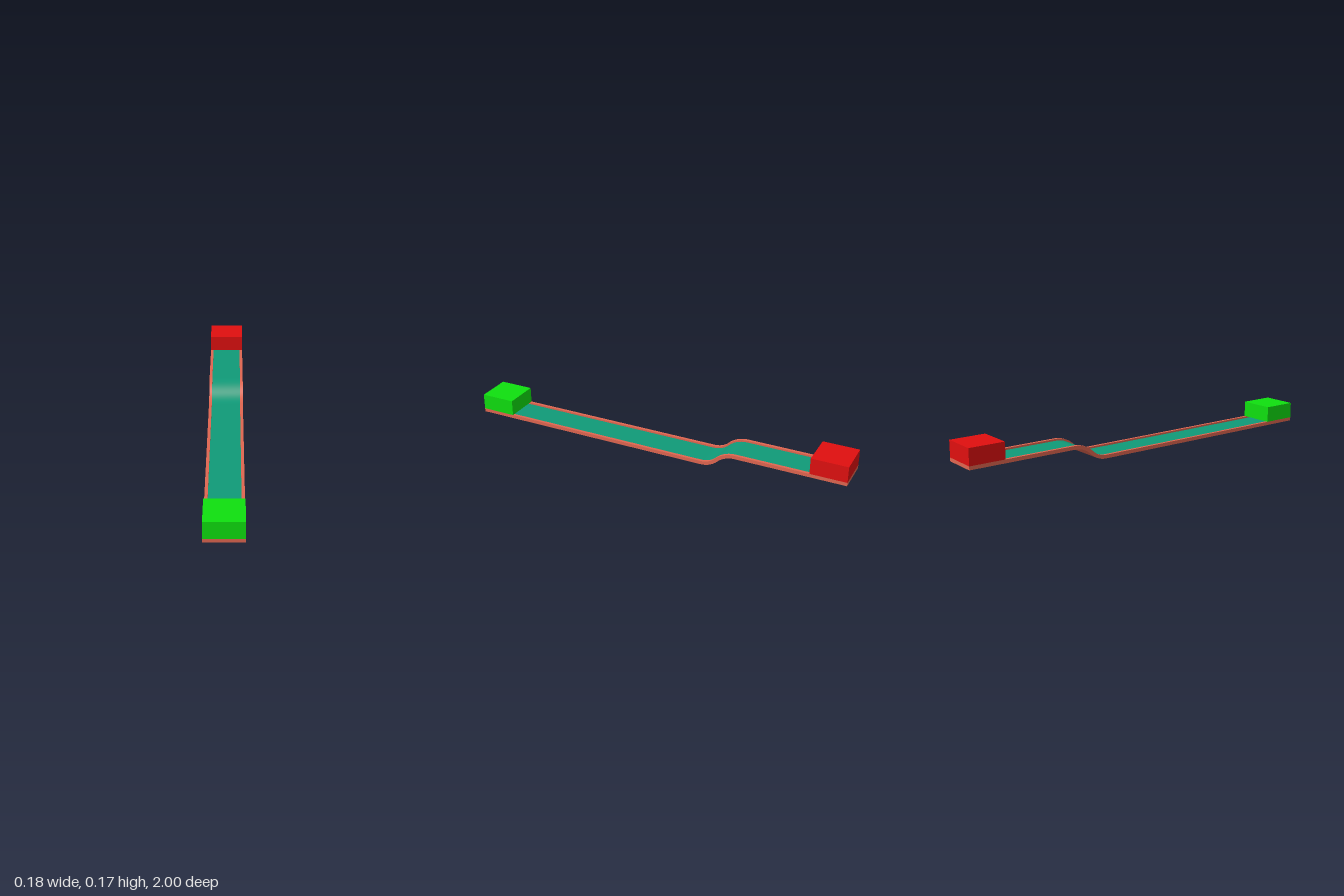
import * as THREE from 'three';

const HALF_W = 0.09, INNER = 0.075, RIM = 0.018, FLOOR = 0.009;
const RADIUS = 0.125, BEND = Math.PI / 4, STEPS = 14, RAMP_Z = -0.36;
const RISE = 2 * RADIUS * (1 - Math.cos(BEND));

// Underside of the track from front to back: flat, two 45-degree arcs, flat
function trackPath() {
  const run = RADIUS * Math.sin(BEND);
  const path = [{ z: 1, y: 0, a: 0 }];
  for (let i = 0; i <= STEPS; i++) {
    const a = (BEND * i) / STEPS;
    path.push({ z: RAMP_Z + run - RADIUS * Math.sin(a), y: RADIUS * (1 - Math.cos(a)), a });
  }
  for (let i = STEPS - 1; i >= 0; i--) {
    const a = (BEND * i) / STEPS;
    path.push({ z: RAMP_Z - run + RADIUS * Math.sin(a), y: RISE - RADIUS * (1 - Math.cos(a)), a });
  }
  path.push({ z: -1, y: RISE, a: 0 });
  return path;
}

// Sweep separate profile edges, smooth along the path and sharp across it
function sweep(edges, path) {
  const pos = [], index = [];
  for (const edge of edges) {
    const base = pos.length / 3;
    for (const p of path)
      for (const [x, h] of edge) pos.push(x, p.y + h * Math.cos(p.a), p.z + h * Math.sin(p.a));
    for (let i = 0; i < path.length - 1; i++) {
      const k = base + i * 2;
      index.push(k, k + 2, k + 1, k + 1, k + 2, k + 3);
    }
  }
  const g = new THREE.BufferGeometry();
  g.setAttribute('position', new THREE.Float32BufferAttribute(pos, 3));
  g.setIndex(index);
  g.computeVertexNormals();
  return g;
}

export function createModel() {
  const group = new THREE.Group();
  const add = (name, geometry, color, x = 0, y = 0, z = 0) => {
    const mesh = new THREE.Mesh(geometry, new THREE.MeshStandardMaterial({ color }));
    mesh.name = name;
    mesh.position.set(x, y, z);
    group.add(mesh);
    return mesh;
  };
  const path = trackPath();
  const salmon = 0xe06650;

  // Shallow channel, corners in order around the section
  const section = [
    [INNER, FLOOR], [INNER, RIM], [HALF_W, RIM], [HALF_W, 0],
    [-HALF_W, 0], [-HALF_W, RIM], [-INNER, RIM], [-INNER, FLOOR],
  ].reverse();
  const edges = section.slice(0, -1).map((p, i) => [p, section[i + 1]]);
  add('trackChannel', sweep(edges, path), salmon);
  add('trackFloor', sweep([[[INNER, FLOOR], [-INNER, FLOOR]]], path), 0x109a78);

  // End plates closing the channel
  for (const [name, z, y] of [['frontEndPlate', 1, 0], ['backEndPlate', -1, RISE]]) {
    const plate = add(name, new THREE.PlaneGeometry(2 * HALF_W, RIM), salmon, 0, y + RIM / 2, z);
    if (z < 0) plate.rotation.y = Math.PI;
  }

  // Start and finish blocks resting on the rims
  const blockH = 0.082;
  const block = new THREE.BoxGeometry(2 * HALF_W, blockH, 0.18);
  add('startBlock', block, 0x0fe00f, 0, RIM + blockH / 2, 0.91);
  add('finishBlock', block, 0xe00f0f, 0, RISE + RIM + blockH / 2, -0.91);
  return group;
}
